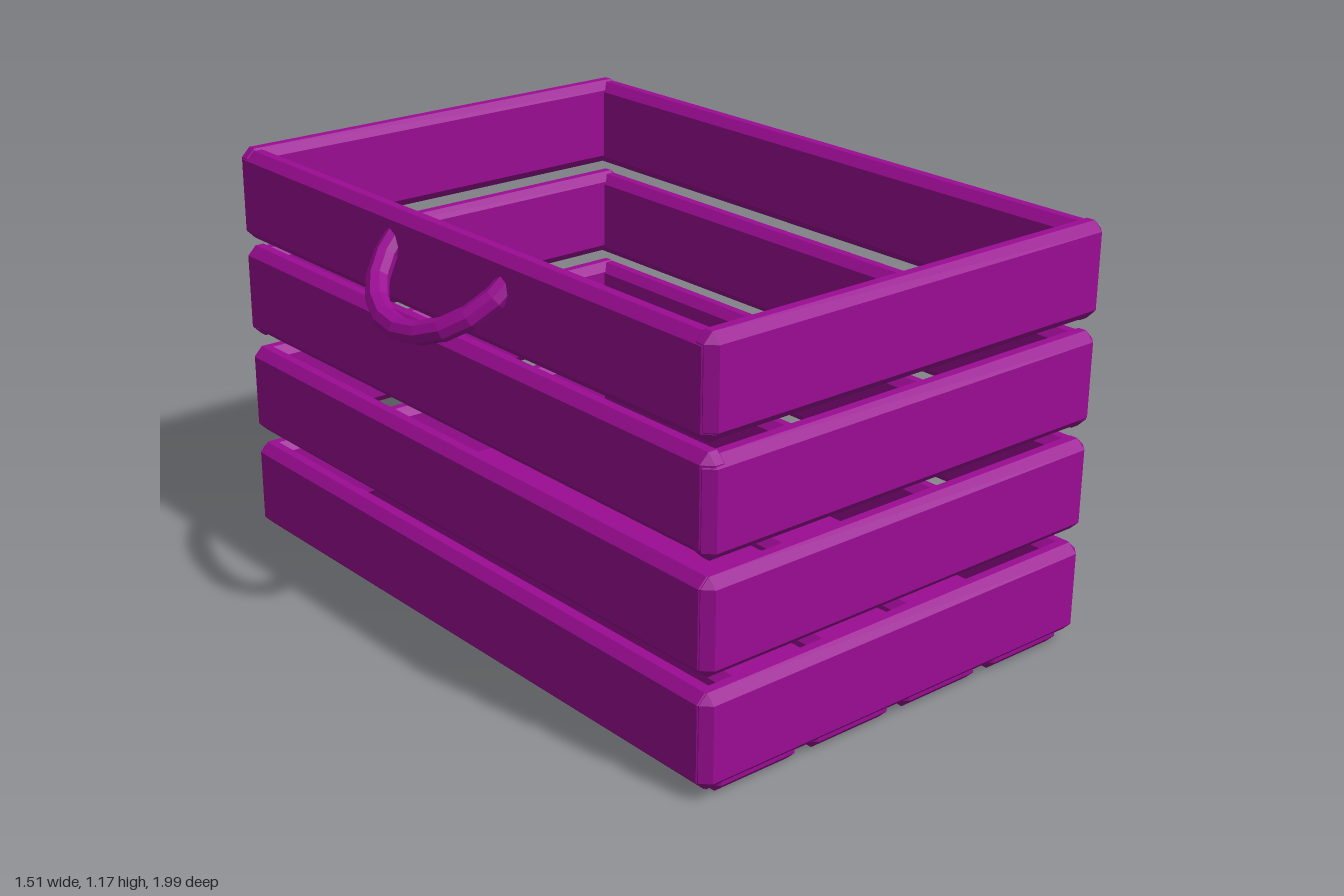
import * as THREE from 'three';
import { ConvexGeometry } from 'three/addons/geometries/ConvexGeometry.js';

const purple = new THREE.MeshStandardMaterial({ color: 0x9a0c93, flatShading: true });
purple.name = 'purple paint';

// Box with every edge chamfered
function plank(name, w, h, d, x, y, z, c = 0.025) {
  const points = [];
  for (const sx of [-1, 1]) for (const sy of [-1, 1]) for (const sz of [-1, 1]) {
    const [a, b, e] = [w / 2, h / 2, d / 2];
    points.push(
      new THREE.Vector3(sx * a, sy * (b - c), sz * (e - c)),
      new THREE.Vector3(sx * (a - c), sy * b, sz * (e - c)),
      new THREE.Vector3(sx * (a - c), sy * (b - c), sz * e));
  }
  const mesh = new THREE.Mesh(new ConvexGeometry(points), purple);
  mesh.name = name;
  mesh.position.set(x, y, z);
  return mesh;
}

export function createModel() {
  const model = new THREE.Group();
  model.name = 'crate';

  // Crate body, turned very slightly
  const body = new THREE.Group();
  body.name = 'crateBody';
  body.position.x = 0.075;
  body.rotation.y = -0.015;
  model.add(body);

  const width = 1.32, length = 1.975, thick = 0.075, height = 0.255;

  // Four rings of wall planks; side planks sit a touch off the end planks
  const rings = [
    { y: 0.156, left: 0, right: 0 },
    { y: 0.452, left: 0, right: -0.003 },
    { y: 0.747, left: 0.008, right: -0.007 },
    { y: 1.038, left: -0.005, right: -0.005 },
  ];
  const sx = (width - thick) / 2, sz = (length - thick) / 2;
  for (const { y, left, right } of rings) {
    body.add(
      plank('frontPlank', width - 0.005, height, thick, 0, y, sz),
      plank('backPlank', width - 0.005, height, thick, 0, y, -sz),
      plank('rightPlank', thick, height, length - 0.01, -sx, y + left, 0),
      plank('leftPlank', thick, height, length - 0.01, sx, y + right, 0));
  }

  // Floor planks
  for (let i = 0; i < 4; i++) {
    body.add(plank('floorPlank', 0.285, thick, 1.94, (i - 1.5) * 0.315, thick / 2, 0));
  }

  // Drooping half-ring handle
  const handle = new THREE.Mesh(new THREE.TorusGeometry(0.238, 0.031, 8, 10, Math.PI), purple);
  handle.name = 'handle';
  const out = new THREE.Vector3(-0.74, -0.67, 0).normalize();
  const along = new THREE.Vector3(0, 0, 1);
  handle.quaternion.setFromRotationMatrix(
    new THREE.Matrix4().makeBasis(along, out, along.clone().cross(out)));
  handle.position.set(-0.549, 1.1, -0.01);
  model.add(handle);

  return model;
}
